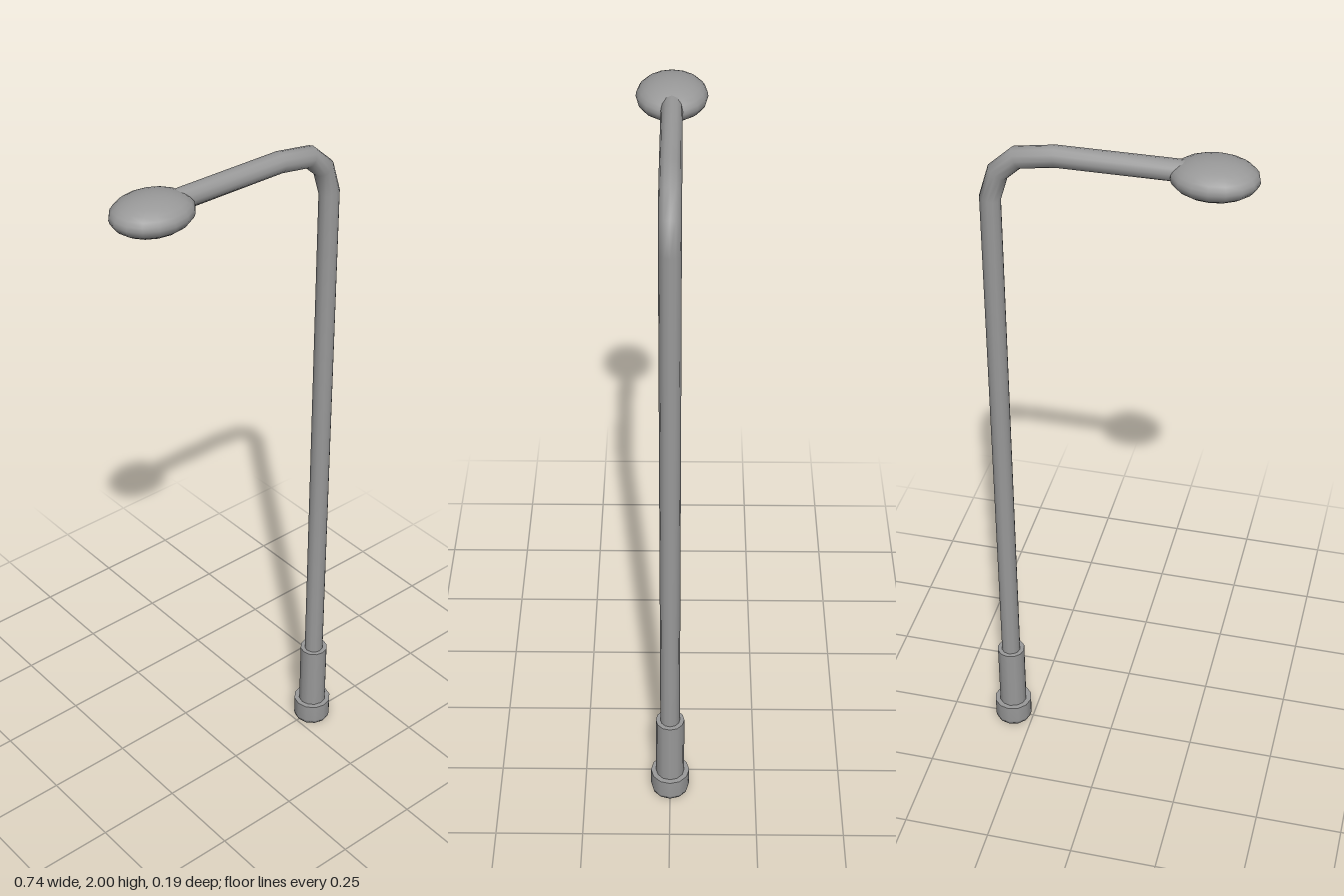
import * as THREE from 'three';

const POLE_X = 0.312;

// Sweep a round section along a path in the xy plane, with one mitred ring per point
function sweep(path, radius, sides) {
  const pos = [], idx = [];
  path.forEach((p, i) => {
    const prev = path[Math.max(i - 1, 0)], next = path[Math.min(i + 1, path.length - 1)];
    const before = p.clone().sub(prev).normalize();
    const after = next.clone().sub(p).normalize();
    const dir = before.clone().add(after).normalize();
    const cosHalf = Math.max(dir.dot(i ? before : after), 0.5);
    for (let j = 0; j < sides; j++) {
      const a = (j / sides) * Math.PI * 2;
      const u = Math.cos(a) * radius / cosHalf;
      pos.push(p.x + dir.y * u, p.y - dir.x * u, Math.sin(a) * radius);
      if (i > 0) {
        const k = (j + 1) % sides, r0 = (i - 1) * sides, r1 = i * sides;
        idx.push(r0 + j, r1 + j, r0 + k, r0 + k, r1 + j, r1 + k);
      }
    }
  });
  const g = new THREE.BufferGeometry();
  g.setAttribute('position', new THREE.Float32BufferAttribute(pos, 3));
  g.setIndex(idx);
  g.computeVertexNormals();
  return g;
}

export function createModel() {
  const model = new THREE.Group();
  const grey = new THREE.MeshStandardMaterial({ name: 'grey metal', color: 0x999999 });
  const yellow = new THREE.MeshStandardMaterial({ name: 'yellow lens', color: 0xc8bc00 });

  function add(name, geometry, material, x, y) {
    const mesh = new THREE.Mesh(geometry, material);
    mesh.name = name;
    mesh.position.set(x, y, 0);
    model.add(mesh);
    return mesh;
  }

  // Foot: softly shaded wall and underside, flat top
  const foot = [[0, 0], [0.053, 0], [0.056, 0.012], [0.056, 0.068]].map(p => new THREE.Vector2(...p));
  add('foot', new THREE.LatheGeometry(foot, 12), grey, POLE_X, 0);
  add('footTop', new THREE.CircleGeometry(0.056, 12).rotateX(-Math.PI / 2), grey, POLE_X, 0.068);

  // Sleeve around the lower pole
  add('sleeve', new THREE.CylinderGeometry(0.041, 0.041, 0.21, 12), grey, POLE_X, 0.17);

  // Pole bending over into the horizontal arm
  const path = [[POLE_X, 0.06], [POLE_X, 1.825], [0.289, 1.9], [0.239, 1.945], [0.14, 1.96], [-0.22, 1.96]]
    .map(p => new THREE.Vector2(...p));
  add('poleAndArm', sweep(path, 0.028, 12), grey, 0, 0);

  // Lamp head: flattened ellipsoid whose underside is the lens
  const split = Math.PI * 0.73;
  const head = add('lampHousing',
    new THREE.SphereGeometry(1, 16, 10, 0, Math.PI * 2, 0, split), grey, -0.258, 1.952);
  const lens = add('lampLens',
    new THREE.SphereGeometry(1, 16, 4, 0, Math.PI * 2, split, Math.PI - split), yellow, -0.258, 1.952);
  for (const part of [head, lens]) part.scale.set(0.112, 0.048, 0.093);

  return model;
}
